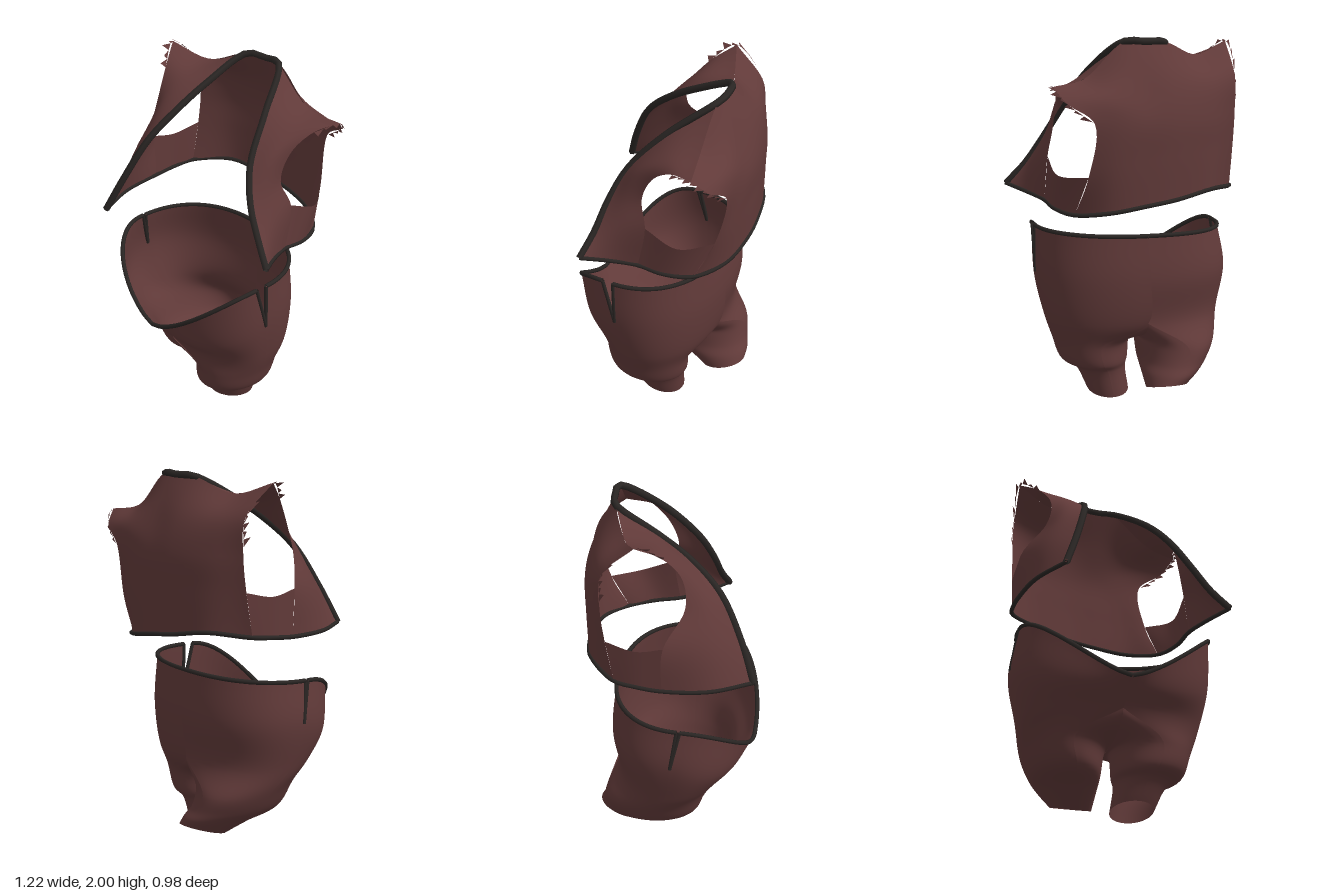
import * as THREE from 'three';

const cloth = new THREE.MeshStandardMaterial({ color: 0x613a39, side: THREE.DoubleSide });
cloth.name = 'brown cloth';
const edging = new THREE.MeshStandardMaterial({ color: 0x2a2624, side: THREE.DoubleSide });
edging.name = 'dark edging';

const V = (a) => new THREE.Vector3(...a);
const spline = (pts) => new THREE.CatmullRomCurve3(pts.map(V));

function mesh(geometry, material, name) {
  const m = new THREE.Mesh(geometry, material);
  m.name = name;
  return m;
}

// Smooth sheet through a list of curves, each given by its points
function sheet(curves, nu, nv, name) {
  const lines = curves.map(spline);
  const pos = [], index = [];
  for (let i = 0; i <= nu; i++) {
    const across = new THREE.CatmullRomCurve3(lines.map((c) => c.getPoint(i / nu)));
    for (let j = 0; j <= nv; j++) {
      pos.push(...across.getPoint(j / nv).toArray());
      if (i < nu && j < nv) {
        const a = i * (nv + 1) + j, b = a + nv + 1;
        index.push(a, b, a + 1, b, b + 1, a + 1);
      }
    }
  }
  const g = new THREE.BufferGeometry();
  g.setAttribute('position', new THREE.Float32BufferAttribute(pos, 3));
  g.setIndex(index);
  g.computeVertexNormals();
  return mesh(g, cloth, name);
}

const piping = (pts, r, name) =>
  mesh(new THREE.TubeGeometry(spline(pts), pts.length * 4, r, 6), edging, name);

// Row of torn points along an edge, leaning outwards
function tornEdge(pts, out, n, name) {
  const c = spline(pts), pos = [];
  for (let i = 0; i < n; i++) {
    const len = [1, 0.5, 0.8, 0.35][i % 4];
    const tip = c.getPoint((i + 0.8) / n).addScaledVector(V(out), len);
    pos.push(...c.getPoint(i / n).toArray(), ...c.getPoint((i + 1) / n).toArray(), ...tip.toArray());
  }
  const g = new THREE.BufferGeometry();
  g.setAttribute('position', new THREE.Float32BufferAttribute(pos, 3));
  g.computeVertexNormals();
  return mesh(g, cloth, name);
}

function makeVest() {
  const vest = new THREE.Group();
  vest.name = 'vest';

  // Back, from the hem up between the armholes to the shoulders and neck
  const backHem = [[-.54, 1.19, -.22], [-.37, 1.21, -.38], [-.17, 1.18, -.44], [0, 1.16, -.46], [.2, 1.13, -.44], [.36, 1.11, -.34]];
  vest.add(sheet([
    backHem,
    [[-.54, 1.42, -.26], [-.38, 1.42, -.38], [-.17, 1.41, -.45], [0, 1.4, -.47], [.18, 1.37, -.47], [.31, 1.32, -.43]],
    [[-.54, 1.6, -.28], [-.38, 1.6, -.38], [-.16, 1.6, -.45], [0, 1.6, -.47], [.14, 1.6, -.48], [.29, 1.6, -.48]],
    [[-.54, 1.79, -.27], [-.38, 1.78, -.33], [-.15, 1.78, -.4], [.02, 1.78, -.41], [.22, 1.73, -.45], [.42, 1.7, -.45]],
    [[-.55, 1.96, -.1], [-.35, 1.9, -.19], [-.14, 1.98, -.28], [.08, 1.99, -.31], [.3, 1.81, -.33], [.48, 1.78, -.38]],
  ], 40, 28, 'backPanel'));

  // Strips under the armholes
  const rightHem = [[-.56, 1.17, .03], [-.56, 1.18, -.1], [-.54, 1.19, -.22]];
  const leftHem = [[.36, 1.11, -.34], [.43, 1.12, -.2], [.45, 1.14, -.06]];
  vest.add(sheet([rightHem, [[-.56, 1.42, .04], [-.56, 1.39, -.1], [-.54, 1.42, -.26]]], 12, 4, 'rightSide'));
  vest.add(sheet([leftHem, [[.31, 1.32, -.43], [.43, 1.31, -.28], [.44, 1.38, -.1]]], 12, 4, 'leftSide'));

  // Front panels, from armhole edge to front edge
  const rightFront = [[-.41, 1.18, .48], [-.34, 1.38, .4], [-.27, 1.6, .28], [-.22, 1.75, .12], [-.19, 1.86, -.05], [-.14, 1.98, -.28]];
  const leftFront = [[.6, 1.19, .2], [.5, 1.3, .17], [.4, 1.45, .14], [.31, 1.62, .07], [.22, 1.82, -.1], [.08, 1.99, -.31]];
  vest.add(sheet([
    [[-.56, 1.17, .03], [-.56, 1.42, .04], [-.44, 1.59, .13], [-.41, 1.74, .11], [-.46, 1.87, .02], [-.55, 1.96, -.1]],
    [[-.52, 1.17, .27], [-.47, 1.4, .25], [-.38, 1.59, .22], [-.33, 1.75, .13], [-.33, 1.86, 0], [-.35, 1.9, -.19]],
    rightFront,
  ], 30, 10, 'rightFrontPanel'));
  vest.add(sheet([
    [[.45, 1.14, -.06], [.44, 1.38, -.1], [.4, 1.52, -.06], [.4, 1.66, -.12], [.43, 1.75, -.24], [.48, 1.78, -.38]],
    [[.51, 1.16, .07], [.47, 1.34, .04], [.41, 1.49, .04], [.37, 1.66, -.02], [.34, 1.77, -.17], [.3, 1.81, -.33]],
    leftFront,
  ], 30, 10, 'leftFrontPanel'));

  // Torn shoulder edges
  vest.add(tornEdge([[-.54, 1.65, -.28], [-.54, 1.79, -.27], [-.55, 1.96, -.1], [-.46, 1.87, .02]], [-.02, .02, .03], 11, 'rightTornEdge'));
  vest.add(tornEdge([[.3, 1.61, -.48], [.42, 1.7, -.45], [.48, 1.78, -.38], [.43, 1.75, -.25]], [.03, -.01, .01], 9, 'leftTornEdge'));

  // Dark edging on the hem, fronts and neck
  vest.add(piping([rightFront[0], [-.52, 1.17, .27], ...rightHem, ...backHem.slice(1, -1), ...leftHem, [.51, 1.16, .07], leftFront[0]], .012, 'hemEdging'));
  vest.add(piping([...rightFront, [-.03, 1.985, -.31], ...[...leftFront].reverse()], .019, 'frontEdging'));
  return vest;
}

// Squared-off oval section; front is where sin is positive
function oval(a, x0, x1, zBack, zMid, zFront, yOf) {
  const c = Math.cos(a), s = Math.sin(a);
  const soft = (v) => Math.sign(v) * Math.abs(v) ** 0.85;
  const x = (x0 + x1) / 2 + soft(c) * (x1 - x0) / 2;
  return [x, yOf(c, s), zMid + soft(s) * (s > 0 ? zFront - zMid : zMid - zBack)];
}
const waist = (a) => oval(a, -.57, .47, -.3, .12, .455,
  (c, s) => (s > 0 ? .6 + .35 * Math.abs(c) ** 1.2 : .95 + .01 * -s) + .02 * c);
const hip = (a) => oval(a, -.6, .47, -.32, .08, .41, (c, s) => .71 - .15 * Math.max(0, s));
const thigh = (a) => oval(a, -.55, .43, -.29, .04, .33, () => .47);

// Points of a section between two angles
const arc = (section, a0, a1) =>
  Array.from({ length: 17 }, (_, i) => section(a0 + (a1 - a0) * i / 16));

// One side of the trousers; angles run from its outer side towards the front
function makeSide(side, gap, rings, name) {
  const half = new THREE.Group();
  half.name = name;
  const q = Math.PI / 2;
  const own = (section) => (a) => section(side > 0 ? a : Math.PI - a);
  const legs = rings.map(([cx, cy, cz, rx, rz, tilt]) => (a) =>
    [cx + side * rx * Math.cos(a), cy + tilt * Math.sin(a), cz + rz * Math.sin(a)]);
  const crotch = (a) => [-.06, .47 + .13 * Math.cos(a), .02 + .31 * Math.sin(a)];

  // Outer front and back run from waist to ankle, with the slit between them
  for (const [dir, part] of [[1, 'Front'], [-1, 'Back']]) {
    const lower = [own(hip), own(thigh), ...legs].map((s) => arc(s, 0, dir * q));
    half.add(sheet([arc(own(waist), dir * gap, dir * q), ...lower], 28, 42, name + part));
    half.add(piping([own(waist)(dir * gap), own(hip)(0)], .01, 'slitEdging'));
    half.add(piping(arc(own(waist), dir * gap, dir * q), .012, 'waistEdging'));
  }
  // Inner leg below the crotch
  half.add(sheet([crotch, ...legs].map((s) => arc(s, q, 3 * q)), 28, 28, name + 'Inner'));
  return half;
}

function makeTrousers() {
  const trousers = new THREE.Group();
  trousers.name = 'trousers';
  // Each ring: centre x, y, z, half width, half depth, tilt; gathered at the knee
  trousers.add(makeSide(1, .055, [[.17, .33, .04, .215, .24, 0], [.155, .21, .04, .185, .22, 0],
    [.125, .165, .02, .14, .17, 0], [.085, .03, 0, .115, .13, .022]], 'leftLeg'));
  trousers.add(makeSide(-1, .012, [[-.28, .33, -.06, .22, .28, .01], [-.255, .22, -.1, .185, .265, -.01],
    [-.215, .16, -.19, .15, .2, -.02], [-.175, .1, -.265, .11, .13, -.04]], 'rightLeg'));
  return trousers;
}

export function createModel() {
  const model = new THREE.Group();
  model.name = 'outfit';
  model.add(makeVest(), makeTrousers());
  return model;
}
